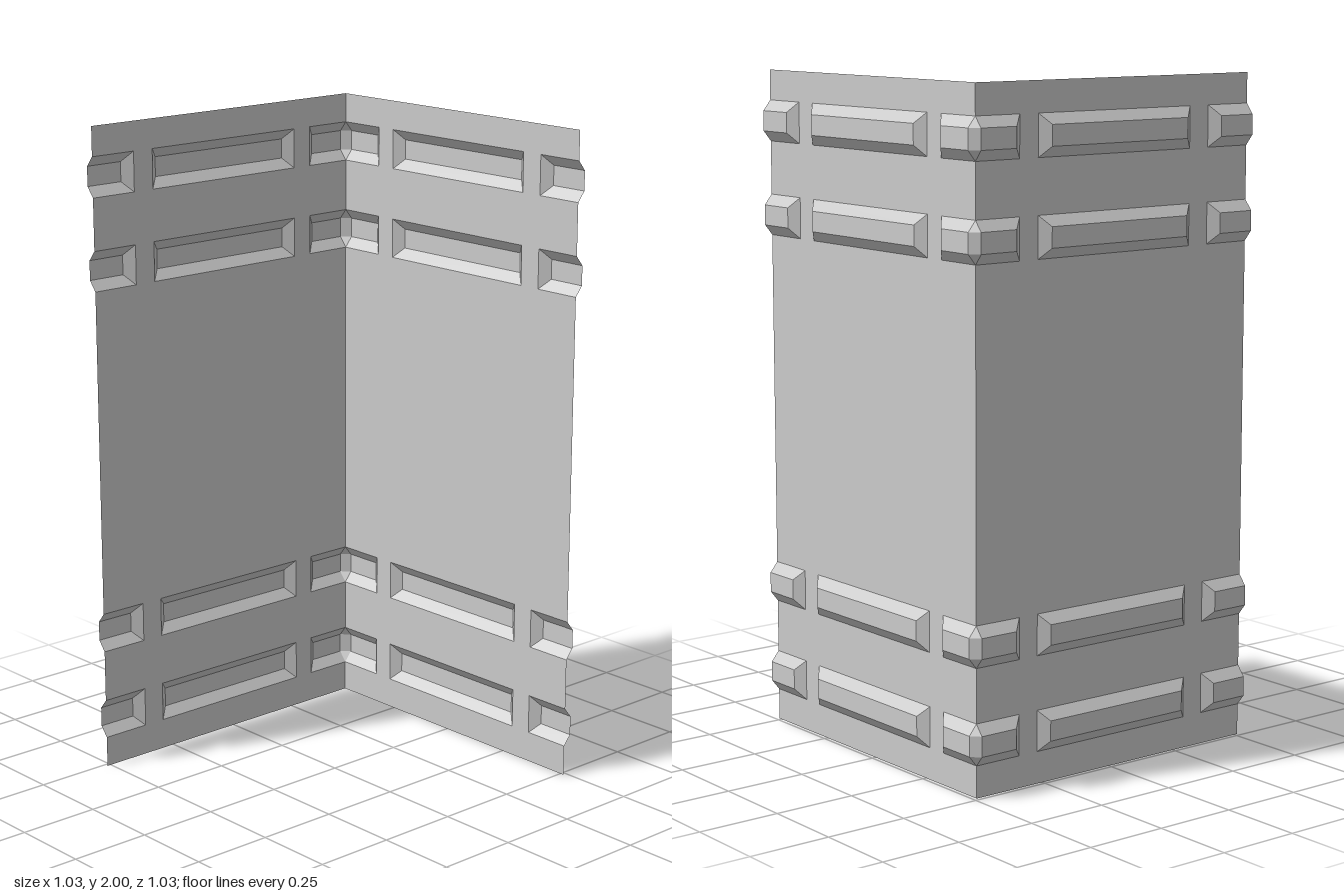
import * as THREE from 'three';

const WALL = -0.488, DEPTH = 0.025, END = 0.513, HEIGHT = 2;
const HALF = 0.061, INNER = 0.03;            // rib half heights: at the sheet, at the crest
const BEVEL = 0.03;                          // slope length at closed rib ends
const BANDS = [0.156, 0.438, 1.568, 1.849];  // rib centre heights
// Rib extents along a wall; flags say whether each end is closed by a slope
const RIBS = [
  { name: 'cornerRib', a: WALL, b: -0.335, closedA: false, closedB: true },
  { name: 'middleRib', a: -0.27, b: 0.29, closedA: true, closedB: true },
  { name: 'edgeRib', a: 0.36, b: END, closedA: true, closedB: false },
];

const material = new THREE.MeshStandardMaterial({
  color: 0xcccccc, flatShading: true, side: THREE.DoubleSide,
});

// Mesh from flat polygons (3 or 4 corners each); map places wall coordinates in space
function sheet(name, polygons, map, flip = false) {
  const pos = [];
  for (const poly of polygons) {
    const p = poly.map((c) => map(...c));
    if (flip) p.reverse();
    for (let i = 1; i < p.length - 1; i++) pos.push(...p[0], ...p[i], ...p[i + 1]);
  }
  const g = new THREE.BufferGeometry();
  g.setAttribute('position', new THREE.Float32BufferAttribute(pos, 3));
  g.computeVertexNormals();
  const mesh = new THREE.Mesh(g, material);
  mesh.name = name;
  return mesh;
}

const panel = (a, b, y0, y1) => [[a, y0, 0], [b, y0, 0], [b, y1, 0], [a, y1, 0]];

// Flat sheet with openings left where the ribs are pressed out
function panelPolygons() {
  const polys = [];
  let y = 0;
  for (const c of BANDS) {
    polys.push(panel(WALL, END, y, c - HALF));
    for (let i = 0; i < RIBS.length - 1; i++) {
      polys.push(panel(RIBS[i].b, RIBS[i + 1].a, c - HALF, c + HALF));
    }
    y = c + HALF;
  }
  polys.push(panel(WALL, END, y, HEIGHT));
  return polys;
}

// Pressed rib: flat crest, sloped long sides and sloped closed ends
function ribPolygons({ a, b, closedA, closedB }, c) {
  const a2 = a + (closedA ? BEVEL : 0), b2 = b - (closedB ? BEVEL : 0);
  const base = panel(a, b, c - HALF, c + HALF);
  const crest = panel(a2, b2, c - INNER, c + INNER).map(([u, y]) => [u, y, DEPTH]);
  const side = (i, j) => [base[i], base[j], crest[j], crest[i]];
  const polys = [crest, side(0, 1), side(2, 3)];
  if (closedB) polys.push(side(1, 2));
  if (closedA) polys.push(side(3, 0));
  return polys;
}

function buildWall(name, map, flip) {
  const wall = new THREE.Group();
  wall.name = name;
  wall.add(sheet('panel', panelPolygons(), map, flip));
  for (const c of BANDS) {
    for (const rib of RIBS) wall.add(sheet(rib.name, ribPolygons(rib, c), map, flip));
  }
  return wall;
}

export function createModel() {
  const model = new THREE.Group();
  model.name = 'cornerPanel';
  model.add(buildWall('backWall', (u, y, d) => [u, y, WALL - d], false));
  model.add(buildWall('rightWall', (u, y, d) => [WALL - d, y, u], true));

  // Chamfered joints where the ribs of both walls meet
  const out = WALL - DEPTH;
  for (const c of BANDS) {
    const lo = c - INNER, hi = c + INNER;
    model.add(sheet('cornerJoint', [
      [[out, lo, WALL], [WALL, lo, out], [WALL, hi, out], [out, hi, WALL]],
      [[WALL, c + HALF, WALL], [out, hi, WALL], [WALL, hi, out]],
      [[WALL, c - HALF, WALL], [WALL, lo, out], [out, lo, WALL]],
    ], (x, y, z) => [x, y, z]));
  }
  return model;
}
